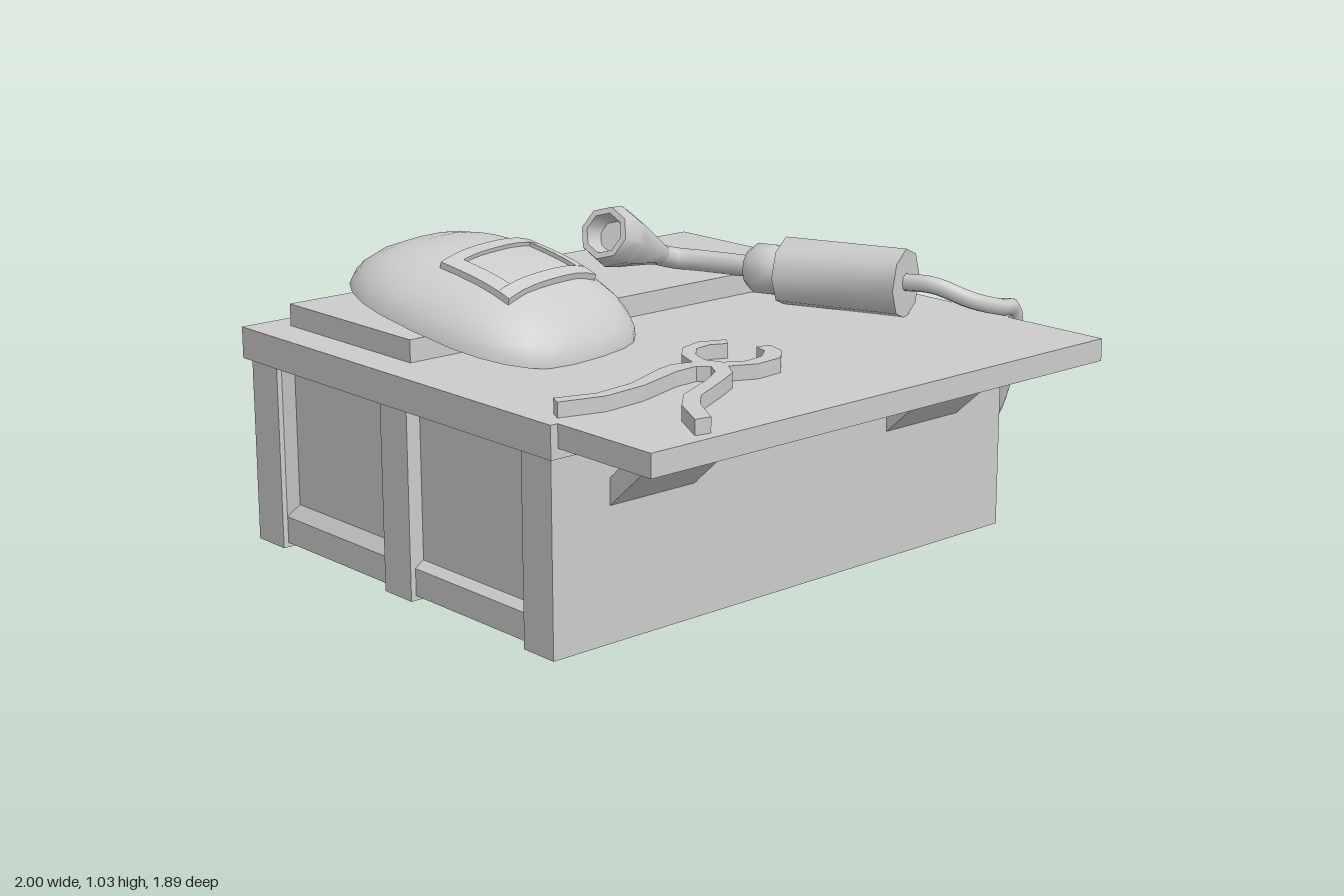
import * as THREE from 'three';
import { toCreasedNormals } from 'three/addons/utils/BufferGeometryUtils.js';

const grey = new THREE.MeshStandardMaterial({ color: 0xcccccc });
const greyDouble = new THREE.MeshStandardMaterial({ color: 0xcccccc, side: THREE.DoubleSide });
const UP = new THREE.Vector3(0, 1, 0);
const vec = (p) => new THREE.Vector3(...p);

function add(parent, name, geometry, material = grey) {
  const mesh = new THREE.Mesh(geometry, material);
  mesh.name = name;
  parent.add(mesh);
  return mesh;
}

// Box given by its limits on each axis
function box(parent, name, [x0, x1], [y0, y1], [z0, z1]) {
  const mesh = add(parent, name, new THREE.BoxGeometry(x1 - x0, y1 - y0, z1 - z0));
  mesh.position.set((x0 + x1) / 2, (y0 + y1) / 2, (z0 + z1) / 2);
  return mesh;
}

// Turned solid whose axis runs from one point towards another
function turned(parent, name, from, to, profile, sides = 8) {
  const points = profile.map(([r, h]) => new THREE.Vector2(r, h));
  const geo = new THREE.LatheGeometry(points, sides, Math.PI / 8);
  const mesh = add(parent, name, toCreasedNormals(geo, 0.85), greyDouble);
  mesh.position.copy(vec(from));
  mesh.quaternion.setFromUnitVectors(UP, vec(to).sub(vec(from)).normalize());
  return mesh;
}

function tube(parent, name, points, radius, segments) {
  const curve = new THREE.CatmullRomCurve3(points.map(vec), false, 'centripetal');
  return add(parent, name, new THREE.TubeGeometry(curve, segments, radius, 8));
}

// Sloping moulding around a sunken panel, facing +z
function moulding(w, h, depth, side, bottom, top) {
  const geo = new THREE.RingGeometry(1, 2, 4, 1, Math.PI / 4);
  const p = geo.attributes.position;
  for (let i = 0; i < p.count; i++) {
    const outer = Math.hypot(p.getX(i), p.getY(i)) > 1.5;
    const sx = Math.sign(p.getX(i)), sy = Math.sign(p.getY(i));
    const inset = outer ? 0 : sy > 0 ? top : bottom;
    p.setXYZ(i, sx * (w / 2 - (outer ? 0 : side)), sy * (h / 2 - inset), outer ? depth : 0);
  }
  const flat = geo.toNonIndexed();
  flat.computeVertexNormals();
  return flat;
}

function buildBench() {
  const bench = new THREE.Group();
  bench.name = 'workbench';
  bench.position.x = -0.0575;
  box(bench, 'cabinetCore', [-0.875, 0.875], [0.015, 0.59], [-0.9, 0.5]);
  for (const [z0, z1] of [[0.41, 0.54], [-0.25, -0.12], [-0.925, -0.79]]) {
    box(bench, 'cabinetPost', [-0.9225, 0.9225], [0, 0.59], [z0, z1]);
  }
  // Side bays with a bottom rail and a sunken panel
  const bays = [
    { z: [-0.12, 0.41], side: 0, bottom: 0.02, top: 0 },
    { z: [-0.79, -0.25], side: 0.028, bottom: 0.04, top: 0.028 },
  ];
  for (const s of [-1, 1]) {
    for (const { z, side, bottom, top } of bays) {
      const xs = s > 0 ? [0.87, 0.905] : [-0.905, -0.87];
      box(bench, 'bottomRail', xs, [0.015, 0.1], z);
      const geo = moulding(z[1] - z[0], 0.49, 0.03, side, bottom, top);
      const frame = add(bench, 'panelMoulding', geo, greyDouble);
      frame.rotation.y = s * Math.PI / 2;
      frame.position.set(s * 0.8755, 0.345, (z[0] + z[1]) / 2);
    }
  }
  box(bench, 'tabletop', [-0.9425, 0.9425], [0.59, 0.69], [-0.945, 0.565]);
  box(bench, 'frontShelf', [-0.9175, 0.9175], [0.62, 0.69], [0.56, 0.945]);
  // Slanted shelf brackets, drawn in profile (z, y)
  const profile = new THREE.Shape([[0.53, 0.4], [0.79, 0.63], [0.69, 0.63], [0.53, 0.48]]
    .map(([z, y]) => new THREE.Vector2(-z, y)));
  for (const x of [-0.7125, 0.4]) {
    const geo = new THREE.ExtrudeGeometry(profile, { depth: 0.3175, bevelEnabled: false });
    const bracket = add(bench, 'shelfBracket', geo);
    bracket.rotation.y = Math.PI / 2;
    bracket.position.x = x;
  }
  box(bench, 'raisedBoard', [-0.8225, 0.8275], [0.69, 0.76], [-0.855, -0.23]);
  return bench;
}

// Welding mask: a rounded-rectangle dome with an arched window frame
function buildMask() {
  const mask = new THREE.Group();
  mask.name = 'weldingMask';
  const A = 0.36, B = 0.435, N = 2.7;
  const dome = (s) => 0.18 * Math.pow(Math.max(0, 1 - Math.pow(s, 2.6)), 0.6);
  const spread = (x, z) => Math.pow(Math.pow(Math.abs(x / A), N) + Math.pow(Math.abs(z / B), N), 1 / N);
  const rings = [1, 0.985, 0.94, 0.86, 0.74, 0.55, 0.3, 0.001], sides = 28;
  const pos = [], index = [];
  rings.forEach((s, r) => {
    for (let i = 0; i < sides; i++) {
      const a = (i / sides) * Math.PI * 2, c = Math.cos(a), d = Math.sin(a);
      const x = A * s * Math.sign(c) * Math.pow(Math.abs(c), 2 / N);
      const z = B * s * Math.sign(d) * Math.pow(Math.abs(d), 2 / N);
      pos.push(x, dome(s), z);
      if (r === 0) continue;
      const j = (i + 1) % sides, p = (r - 1) * sides, q = r * sides;
      index.push(p + i, q + i, p + j, p + j, q + i, q + j);
    }
  });
  const shell = new THREE.BufferGeometry();
  shell.setAttribute('position', new THREE.Float32BufferAttribute(pos, 3));
  shell.setIndex(index);
  shell.computeVertexNormals();
  add(mask, 'maskShell', shell, greyDouble);

  // Window frame bars, subdivided and laid over the dome
  const bar = (x0, x1, z0, z1, height, name) => {
    const geo = new THREE.BoxGeometry(x1 - x0, height, z1 - z0, 8, 1, 4);
    geo.translate((x0 + x1) / 2, 0, (z0 + z1) / 2 + 0.075);
    const p = geo.attributes.position;
    for (let i = 0; i < p.count; i++) {
      p.setY(i, p.getY(i) + dome(spread(p.getX(i), p.getZ(i))));
    }
    add(mask, name, toCreasedNormals(geo, 0.6));
  };
  for (const s of [-1, 1]) {
    const z = s * 0.115, x = s * 0.18;
    bar(-0.205, 0.205, z - 0.022, z + 0.022, 0.036, 'windowFrameLong');
    bar(x - 0.025, x + 0.025, -0.093, 0.093, 0.036, 'windowFrameShort');
  }
  bar(-0.155, 0.155, -0.093, 0.093, 0.01, 'windowGlass');

  mask.rotation.set(0.22, 0.2, 0, 'YXZ');
  mask.position.set(-0.497, 0.775, -0.325);
  return mask;
}

// Torch: flared nozzle, bent neck, grip, trigger guard and hose
function buildTorch() {
  const torch = new THREE.Group();
  torch.name = 'torch';
  turned(torch, 'nozzle', [-0.05, 0.95, -0.325], [0.27, 0.822, -0.418],
    [[0, 0.06], [0.05, 0.06], [0.065, 0], [0.085, 0], [0.1, 0.06], [0.09, 0.12], [0.045, 0.31], [0.035, 0.36]]);
  tube(torch, 'neck', [[0.25, 0.825, -0.415], [0.33, 0.8, -0.415], [0.38, 0.795, -0.35], [0.46, 0.795, -0.12]], 0.035, 14);
  const near = [0.48, 0.795, -0.045], far = [0.63, 0.795, 0.345];
  turned(torch, 'collar', [0.435, 0.795, -0.165], far,
    [[0, 0], [0.06, 0], [0.083, 0.03], [0.083, 0.09], [0.07, 0.13], [0, 0.13]], 12);
  turned(torch, 'grip', near, far, [[0, 0], [0.113, 0], [0.113, 0.415], [0, 0.415]]);
  const guard = [[0.57, 0.79, -0.02], [0.67, 0.74, -0.025], [0.695, 0.735, 0.01], [0.76, 0.735, 0.18], [0.75, 0.74, 0.22], [0.65, 0.785, 0.275]];
  tube(torch, 'triggerGuard', guard, 0.019, 20);
  tube(torch, 'hose', [
    [0.62, 0.8, 0.33], [0.66, 0.8, 0.43], [0.74, 0.755, 0.515], [0.85, 0.72, 0.54],
    [0.935, 0.7, 0.52], [0.968, 0.62, 0.5], [0.972, 0.45, 0.46], [0.965, 0.32, 0.41],
    [0.94, 0.265, 0.35], [0.905, 0.31, 0.3], [0.88, 0.42, 0.275], [0.82, 0.5, 0.265],
  ], 0.028, 40);
  turned(torch, 'hoseSocket', [0.81, 0.5, 0.27], [1, 0.5, 0.27],
    [[0, 0], [0.085, 0], [0.085, 0.03], [0.055, 0.055], [0, 0.055]]);
  return torch;
}

// Tongs: one flat outline (x, z), extruded upwards
function buildTongs() {
  const outline = [
    [-0.92, 0.48], [-0.8, 0.52], [-0.66, 0.505], [-0.5, 0.44], [-0.44, 0.425], [-0.375, 0.445],
    [-0.34, 0.36], [-0.28, 0.3], [-0.2, 0.28], [-0.12, 0.315], [-0.15, 0.355], [-0.2, 0.33],
    [-0.26, 0.338], [-0.31, 0.39], [-0.33, 0.45], [-0.31, 0.505], [-0.25, 0.54], [-0.18, 0.53],
    [-0.13, 0.49], [-0.115, 0.44], [-0.07, 0.45], [-0.09, 0.52], [-0.15, 0.58], [-0.25, 0.588],
    [-0.33, 0.55], [-0.37, 0.61], [-0.45, 0.655], [-0.6, 0.73], [-0.66, 0.79], [-0.73, 0.91],
    [-0.78, 0.9], [-0.71, 0.77], [-0.63, 0.69], [-0.48, 0.62], [-0.4, 0.57], [-0.37, 0.52],
    [-0.4, 0.49], [-0.48, 0.495], [-0.65, 0.548], [-0.8, 0.562], [-0.94, 0.522],
  ];
  const shape = new THREE.Shape(outline.map(([x, z]) => new THREE.Vector2(x, -z)));
  const geo = new THREE.ExtrudeGeometry(shape, { depth: 0.045, bevelEnabled: false });
  geo.rotateX(-Math.PI / 2);
  const tongs = new THREE.Mesh(geo, grey);
  tongs.name = 'tongs';
  tongs.position.y = 0.69;
  return tongs;
}

export function createModel() {
  const model = new THREE.Group();
  model.name = 'weldingBench';
  model.add(buildBench(), buildMask(), buildTorch(), buildTongs());
  return model;
}
